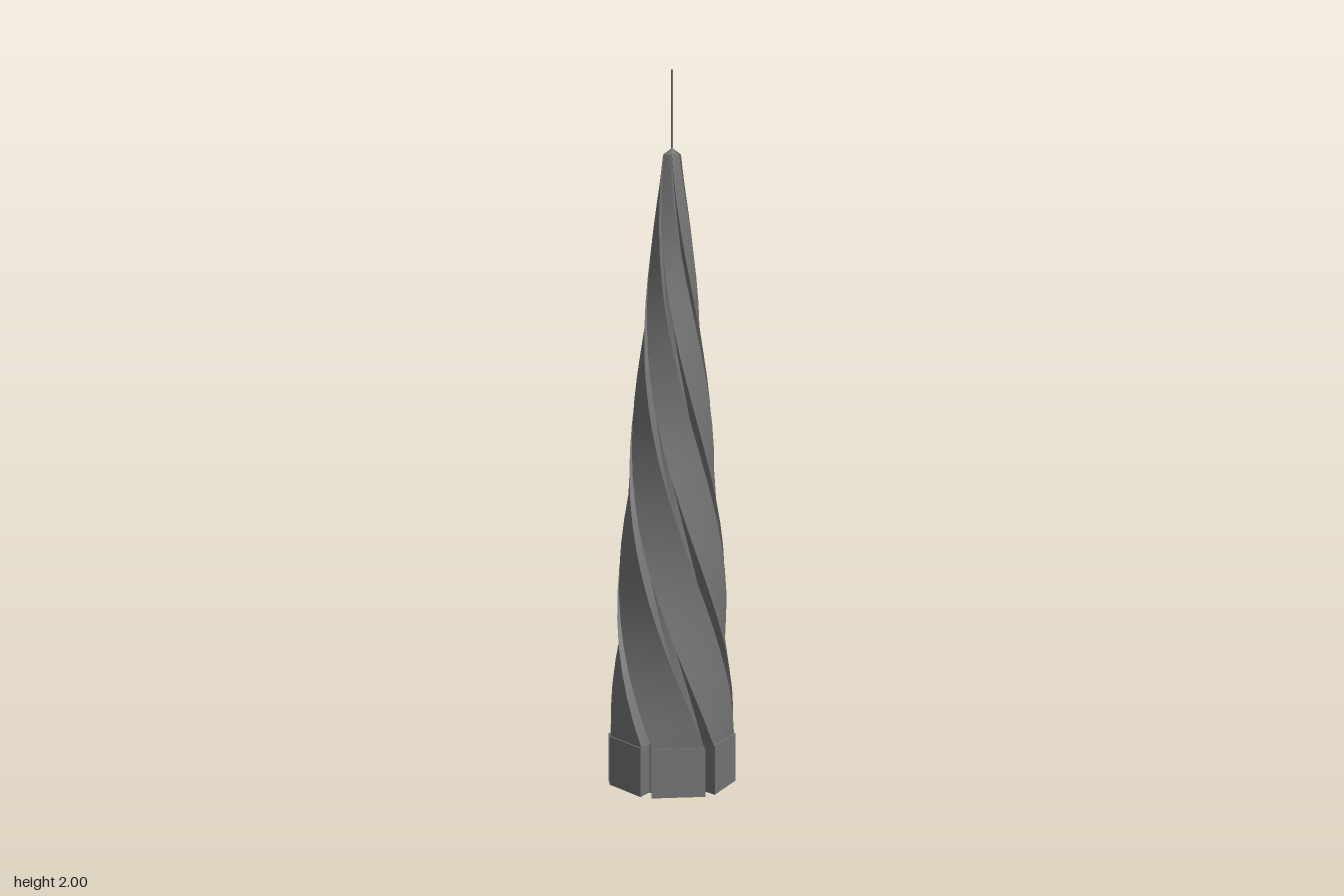
import * as THREE from 'three';
import { toCreasedNormals } from 'three/addons/utils/BufferGeometryUtils.js';

const SIDES = 6;
const BASE_TOP = 0.14, BODY_TOP = 1.77;
const BASE_R = 0.18, SHAFT_R = 0.175, TOP_R = 0.026;
const TWIST = (Math.PI / 3) / 0.44; // radians per unit of height
const GAP = THREE.MathUtils.degToRad(5.3); // half the angle of a corner slot
const SLOT = 0.73; // slot floor radius relative to the corner radius

// Hexagonal ring with a deep slot cut into each corner
function section(y, radius, angle) {
  const ring = [];
  for (let i = 0; i < SIDES; i++) {
    const corner = (i / SIDES) * Math.PI * 2 + angle;
    for (const [k, r] of [[-1, 1], [-1, SLOT], [1, SLOT], [1, 1]]) {
      const a = corner + k * GAP;
      ring.push([Math.cos(a) * r * radius, y, Math.sin(a) * r * radius]);
    }
  }
  return ring;
}

// Skin a stack of equal-sized rings, smooth along the twist, sharp at the edges
function loft(rings) {
  const n = rings[0].length, index = [];
  for (let j = 0; j < rings.length - 1; j++) {
    for (let i = 0; i < n; i++) {
      const a = j * n + i, b = j * n + (i + 1) % n;
      index.push(a, a + n, b, b, a + n, b + n);
    }
  }
  const geometry = new THREE.BufferGeometry();
  geometry.setAttribute('position', new THREE.Float32BufferAttribute(rings.flat(2), 3));
  geometry.setIndex(index);
  return toCreasedNormals(geometry, 0.6);
}

export function createModel() {
  const group = new THREE.Group();
  const material = new THREE.MeshStandardMaterial({ color: 0x747474, side: THREE.DoubleSide });
  const add = (name, geometry) => {
    const mesh = new THREE.Mesh(geometry, material);
    mesh.name = name;
    group.add(mesh);
    return mesh;
  };

  // Straight base, open underneath, with a narrow ledge where the shaft begins
  add('base', loft([
    section(0, BASE_R, 0), section(BASE_TOP, BASE_R, 0), section(BASE_TOP, SHAFT_R, 0),
  ]));

  // Tapering, twisting shaft
  const rows = 24, rings = [];
  for (let j = 0; j <= rows; j++) {
    const t = j / rows;
    const rise = t * (BODY_TOP - BASE_TOP);
    const radius = TOP_R + (SHAFT_R - TOP_R) * (1 - Math.pow(t, 1.4));
    rings.push(section(BASE_TOP + rise, radius, rise * TWIST));
  }
  add('twistedShaft', loft(rings));

  // Shallow pointed roof closing the shaft
  const topAngle = (BODY_TOP - BASE_TOP) * TWIST;
  add('roof', loft([section(BODY_TOP, TOP_R, topAngle), section(1.787, 0.001, topAngle)]));

  // Thin mast
  add('spire', new THREE.CylinderGeometry(0.0025, 0.003, 0.22, 8)).position.y = 1.89;

  return group;
}
